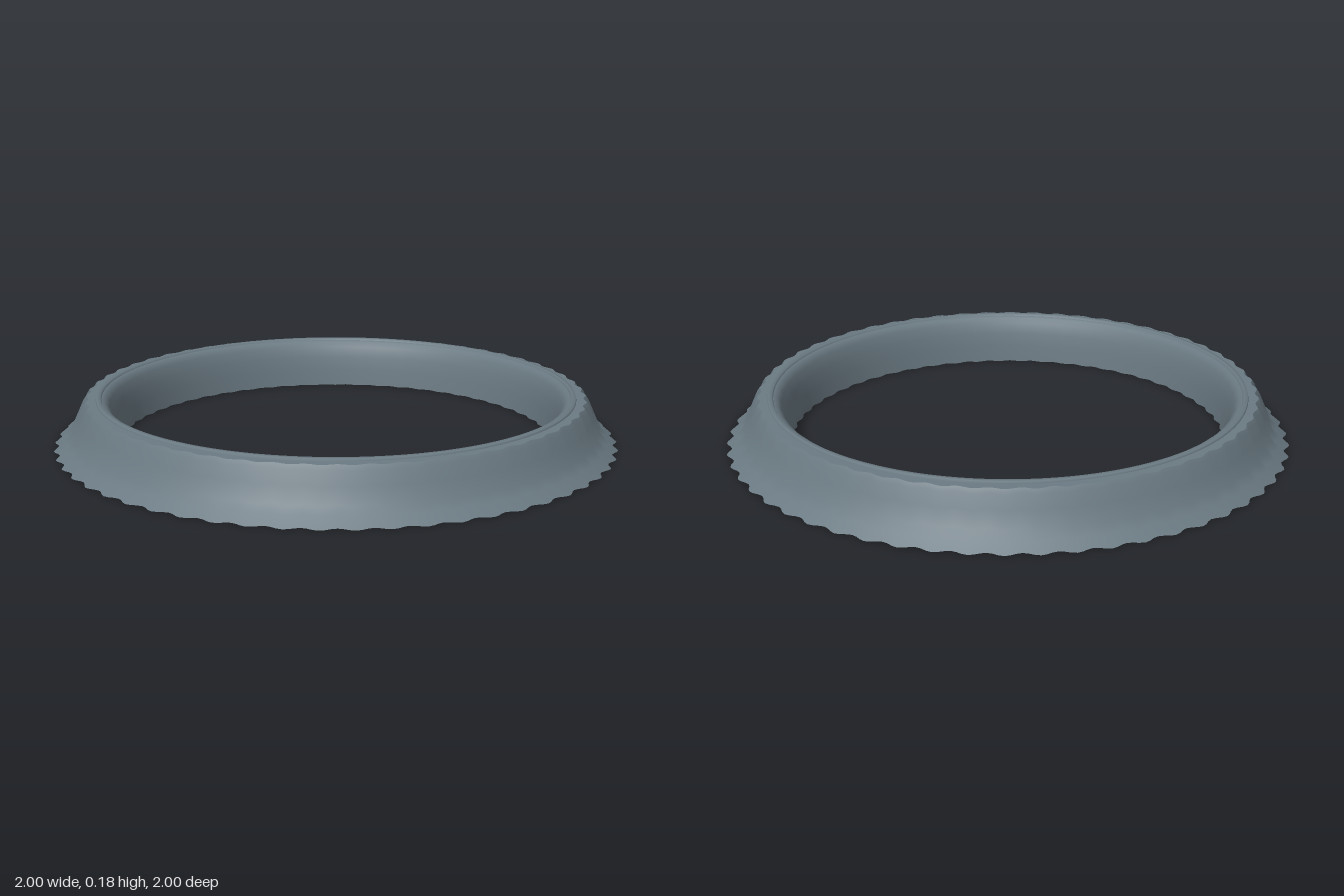
import * as THREE from 'three';

const TEETH = 56;
const SEGMENTS = TEETH * 6;

// Revolves [radius, height, scallop depth] points; the scallops cut into the
// radius while the smooth lathe normals are kept.
function scallopedWall(name, profile, material) {
  const points = profile.map(([r, y]) => new THREE.Vector2(r, y));
  const geometry = new THREE.LatheGeometry(points, SEGMENTS);
  const pos = geometry.attributes.position;
  for (let i = 0; i < pos.count; i++) {
    const [r, , depth] = profile[i % profile.length];
    const angle = Math.atan2(pos.getZ(i), pos.getX(i));
    const scale = 1 - (depth / r) * (0.5 - 0.5 * Math.cos(TEETH * angle));
    pos.setX(i, pos.getX(i) * scale);
    pos.setZ(i, pos.getZ(i) * scale);
  }
  const mesh = new THREE.Mesh(geometry, material);
  mesh.name = name;
  return mesh;
}

export function createModel() {
  const slate = new THREE.MeshStandardMaterial({ color: 0x6b7a83, side: THREE.DoubleSide });
  slate.name = 'slate grey';
  const amber = new THREE.MeshStandardMaterial({ color: 0xc07a30 });
  amber.name = 'amber';

  const ring = new THREE.Group();
  ring.name = 'scallopedRing';

  // Flared outer skirt, open underneath
  ring.add(scallopedWall('outerSkirt', [
    [1.0, 0, 0.02], [0.965, 0.03, 0.019], [0.94, 0.055, 0.018],
    [0.915, 0.11, 0.016], [0.895, 0.155, 0.013], [0.885, 0.17, 0.012],
  ], slate));

  // Shoulder between the skirt and the raised lip
  ring.add(scallopedWall('shoulder', [[0.885, 0.17, 0.012], [0.848, 0.171, 0]], slate));

  // Raised lip
  ring.add(scallopedWall('raisedLip', [
    [0.848, 0.171, 0], [0.846, 0.179, 0], [0.832, 0.18, 0], [0.828, 0.172, 0],
  ], slate));

  // Inner wall, rolling over from the lip down to the hole
  ring.add(scallopedWall('innerWall', [
    [0.828, 0.172, 0], [0.815, 0.168, 0.001], [0.802, 0.15, 0.003],
    [0.79, 0.11, 0.006], [0.782, 0.06, 0.008], [0.776, 0, 0.01],
  ], slate));

  // Tiny amber pins set into the lip
  const pinGeometry = new THREE.SphereGeometry(0.005, 8, 6);
  for (let i = 0; i < 24; i++) {
    const a = (i / 24) * Math.PI * 2;
    const pin = new THREE.Mesh(pinGeometry, amber);
    pin.name = 'lipPin';
    pin.position.set(0.842 * Math.sin(a), 0.17, 0.842 * Math.cos(a));
    ring.add(pin);
  }
  return ring;
}
